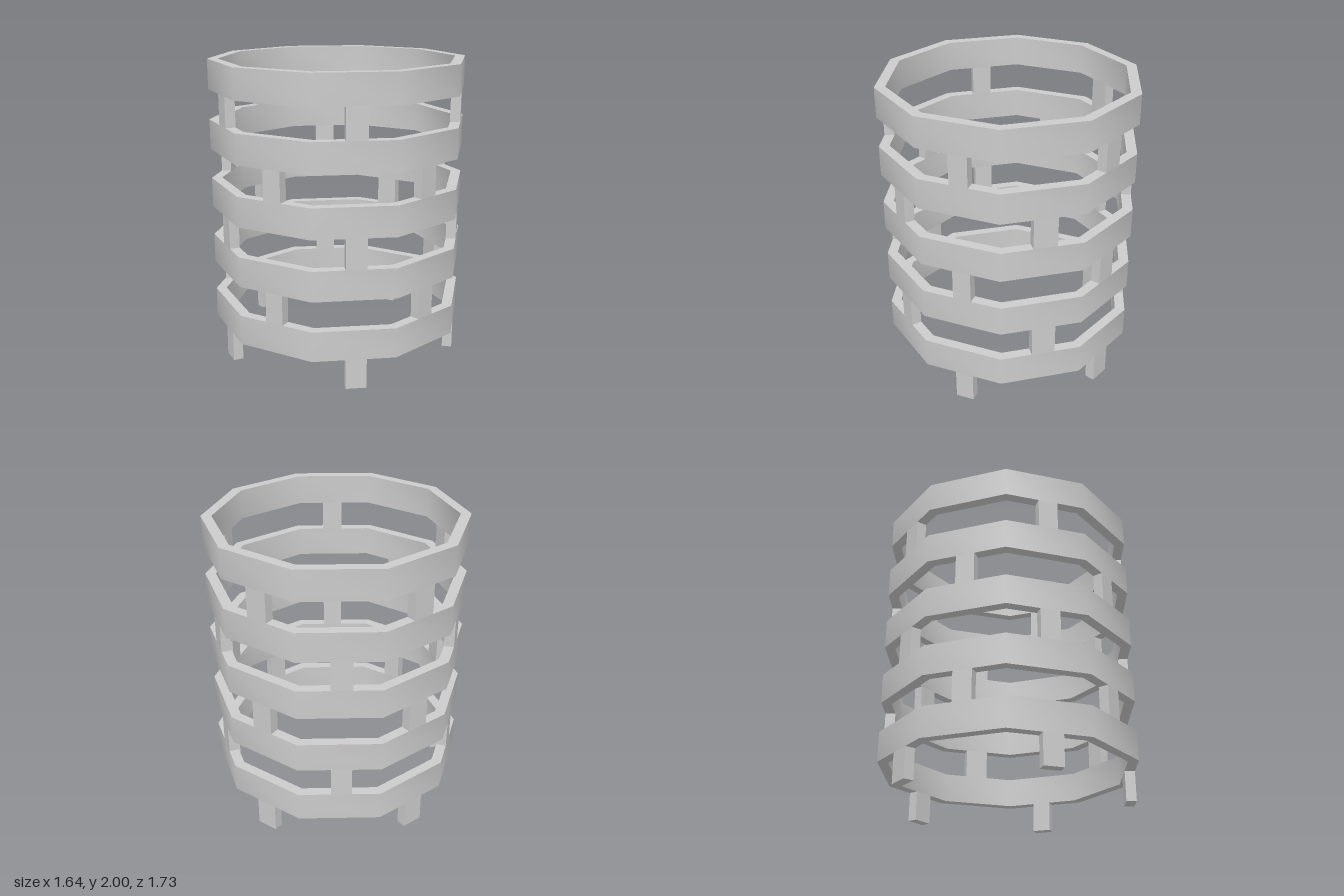
import * as THREE from 'three';
import { toCreasedNormals } from 'three/addons/utils/BufferGeometryUtils.js';

const SIDES = 10;
const OUTER = 0.863;   // corner radius, outside
const INNER = 0.793;   // corner radius, inside
const BAND = 0.2;      // height of each ring and of each gap
const LEVELS = 5;

// Start and end of the post on each side, measured along the side from its middle
const POST_SPANS = [
  [-0.055, 0.08], [-0.063, 0.063], [-0.056, 0.066], [-0.06, 0.094], [-0.08, 0.063],
  [-0.055, 0.08], [-0.046, 0.1], [-0.07, 0.055], [-0.046, 0.083], [-0.07, 0.053],
];

export function createModel() {
  const model = new THREE.Group();
  model.name = 'latticeTower';
  const material = new THREE.MeshStandardMaterial({ color: 0xcccccc });

  // Ten-sided ring with a rectangular section, smooth around and sharp at the rims
  const section = [[INNER, 0], [OUTER, 0], [OUTER, BAND], [INNER, BAND], [INNER, 0]]
    .map(([r, y]) => new THREE.Vector2(r, y));
  const ringGeometry = toCreasedNormals(new THREE.LatheGeometry(section, SIDES), 0.7);

  // Distances from the axis to the middle of a side
  const step = (Math.PI * 2) / SIDES;
  const outerFlat = OUTER * Math.cos(step / 2);
  const innerFlat = INNER * Math.cos(step / 2);

  // Post geometry for one side, flush with the ring inside and out
  const postGeometries = POST_SPANS.map(([from, to], side) => {
    const geometry = new THREE.BoxGeometry(to - from, BAND, outerFlat - innerFlat);
    geometry.translate((from + to) / 2, BAND / 2, (outerFlat + innerFlat) / 2);
    return geometry.rotateY((side + 0.5) * step);
  });

  for (let level = 0; level < LEVELS; level++) {
    const y = level * BAND * 2;

    // Five posts on every other side, staggered from level to level
    const posts = new THREE.Group();
    posts.name = level === 0 ? 'feet' : `posts${level}`;
    for (let side = level % 2; side < SIDES; side += 2) {
      const post = new THREE.Mesh(postGeometries[side], material);
      post.name = level === 0 ? 'foot' : 'post';
      post.position.y = y;
      posts.add(post);
    }

    const ring = new THREE.Mesh(ringGeometry, material);
    ring.name = `ring${level + 1}`;
    ring.position.y = y + BAND;
    model.add(posts, ring);
  }
  return model;
}
